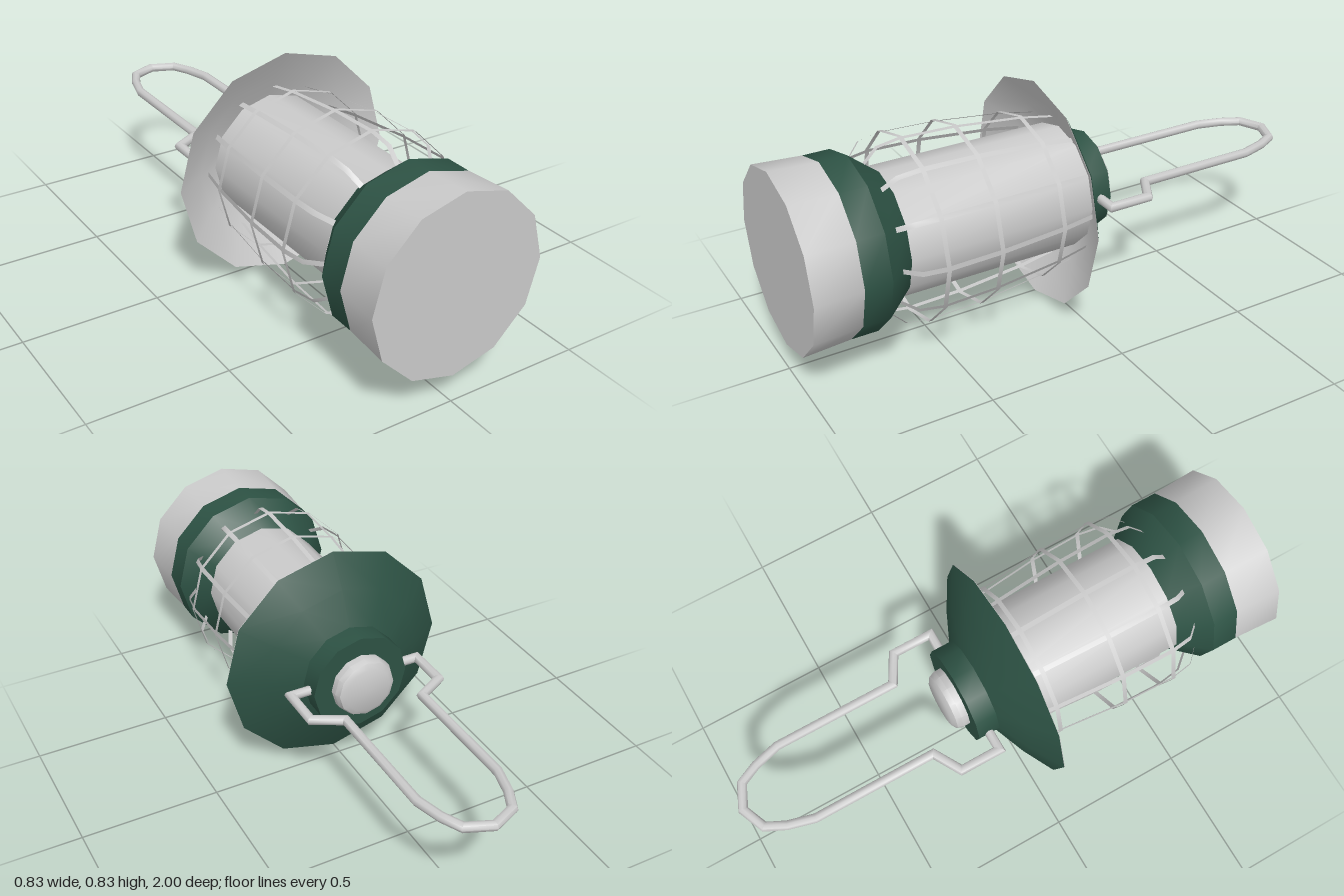
import * as THREE from 'three';
import { toCreasedNormals } from 'three/addons/utils/BufferGeometryUtils.js';

const SIDES = 12;

export function createModel() {
  const model = new THREE.Group();
  model.name = 'lantern';
  // Everything is built around the z axis, then lifted to rest on y = 0
  const body = new THREE.Group();
  body.name = 'lanternBody';
  body.position.y = 0.416;
  model.add(body);

  const steel = new THREE.MeshStandardMaterial({ color: 0xcacaca, side: THREE.DoubleSide });
  steel.name = 'pale steel';
  const green = new THREE.MeshStandardMaterial({ color: 0x2d5244 });
  green.name = 'dark green enamel';

  function add(name, geometry, material, parent = body) {
    const mesh = new THREE.Mesh(geometry, material);
    mesh.name = name;
    parent.add(mesh);
    return mesh;
  }

  // Turned part: profile of [radius, z], from low z to high z for outward faces
  function turned(name, profile, material, sides = SIDES) {
    const points = profile.map(([r, z]) => new THREE.Vector2(r, z));
    const geometry = new THREE.LatheGeometry(points, sides).rotateX(Math.PI / 2);
    return add(name, toCreasedNormals(geometry, 0.61), material);
  }

  // Base, collar above it, and lamp chimney
  turned('base', [[0.309, 0.83], [0.319, 1], [0, 1]], steel);
  turned('baseCollar', [[0, 0.63], [0.222, 0.63], [0.309, 0.735], [0.309, 0.83]], green);
  turned('chimney', [[0.225, -0.05], [0.225, 0.632]], steel);

  // Shade with a pale underside
  const shade = [[0.18, -0.075], [0.3, -0.02], [0.416, 0.048]];
  turned('shade', shade, green);
  turned('shadeUnderside', shade.map(([r, z]) => [r, z + 0.002]).reverse(), steel);

  // Crown and rounded end cap
  turned('crown', [[0, -0.155], [0.18, -0.155], [0.18, -0.07]], green);
  turned('endCap', [[0, -0.213], [0.085, -0.212], [0.105, -0.2], [0.113, -0.18], [0.113, -0.15]], steel);

  // Guard cage: thin hoops and lengthwise strips
  const cage = new THREE.Group();
  cage.name = 'guardCage';
  body.add(cage);
  for (const [r, z] of [[0.299, 0.105], [0.325, 0.355], [0.331, 0.552]]) {
    const hoop = new THREE.CylinderGeometry(r, r, 0.016, SIDES, 1, true).rotateX(Math.PI / 2);
    add('cageHoop', hoop, steel, cage).position.z = z;
  }
  const strip = [[0.27, -0.02], [0.293, 0.105], [0.319, 0.355], [0.325, 0.552], [0.312, 0.635], [0.265, 0.682]];
  for (let i = 0; i < SIDES; i++) {
    const geometry = new THREE.PlaneGeometry(0.018, 1, 1, strip.length - 1);
    const pos = geometry.attributes.position;
    for (let v = 0; v < pos.count; v++) {
      const [r, z] = strip[Math.floor(v / 2)];
      pos.setXYZ(v, pos.getX(v), r, z);
    }
    geometry.computeVertexNormals();
    add('cageStrip', geometry, steel, cage).rotation.z = (i / SIDES) * Math.PI * 2;
  }

  // Wire handle with mitred bends, mirrored about x = 0
  const half = [[0.165, -0.115], [0.249, -0.115], [0.249, -0.265], [0.148, -0.322],
    [0.148, -0.78], [0.122, -0.875], [0.088, -0.945]];
  const path = [...half, [0, -0.982], ...half.map(([x, z]) => [-x, z]).reverse()];
  add('handle', bentWire(path.map(([x, z]) => new THREE.Vector2(x, z)), 0.017, 8), steel);

  return model;
}

// Round wire along a path in the xz plane; each bend is cut on its bisector
function bentWire(path, radius, sides) {
  const positions = [];
  const index = [];
  path.forEach((p, i) => {
    const before = p.clone().sub(path[Math.max(i - 1, 0)]).normalize();
    const after = path[Math.min(i + 1, path.length - 1)].clone().sub(p).normalize();
    const tangent = before.clone().add(after).normalize();
    const along = i === 0 ? after : before.lengthSq() ? before : after;
    const stretch = 1 / Math.max(tangent.dot(along), 0.5);
    for (let k = 0; k < sides; k++) {
      const a = (k / sides) * Math.PI * 2;
      const side = radius * stretch * Math.cos(a);
      positions.push(p.x - tangent.y * side, radius * Math.sin(a), p.y + tangent.x * side);
      if (i === 0) continue;
      const n = (k + 1) % sides;
      const lo = (i - 1) * sides;
      const hi = i * sides;
      index.push(lo + k, lo + n, hi + k, lo + n, hi + n, hi + k);
    }
  });
  // Flat end caps
  const last = (path.length - 1) * sides;
  for (let k = 1; k < sides - 1; k++) {
    index.push(0, k + 1, k, last, last + k, last + k + 1);
  }
  const geometry = new THREE.BufferGeometry();
  geometry.setAttribute('position', new THREE.Float32BufferAttribute(positions, 3));
  // Wind the faces outward
  for (let t = 0; t < index.length; t += 3) [index[t + 1], index[t + 2]] = [index[t + 2], index[t + 1]];
  geometry.setIndex(index);
  return toCreasedNormals(geometry, 0.85);
}
